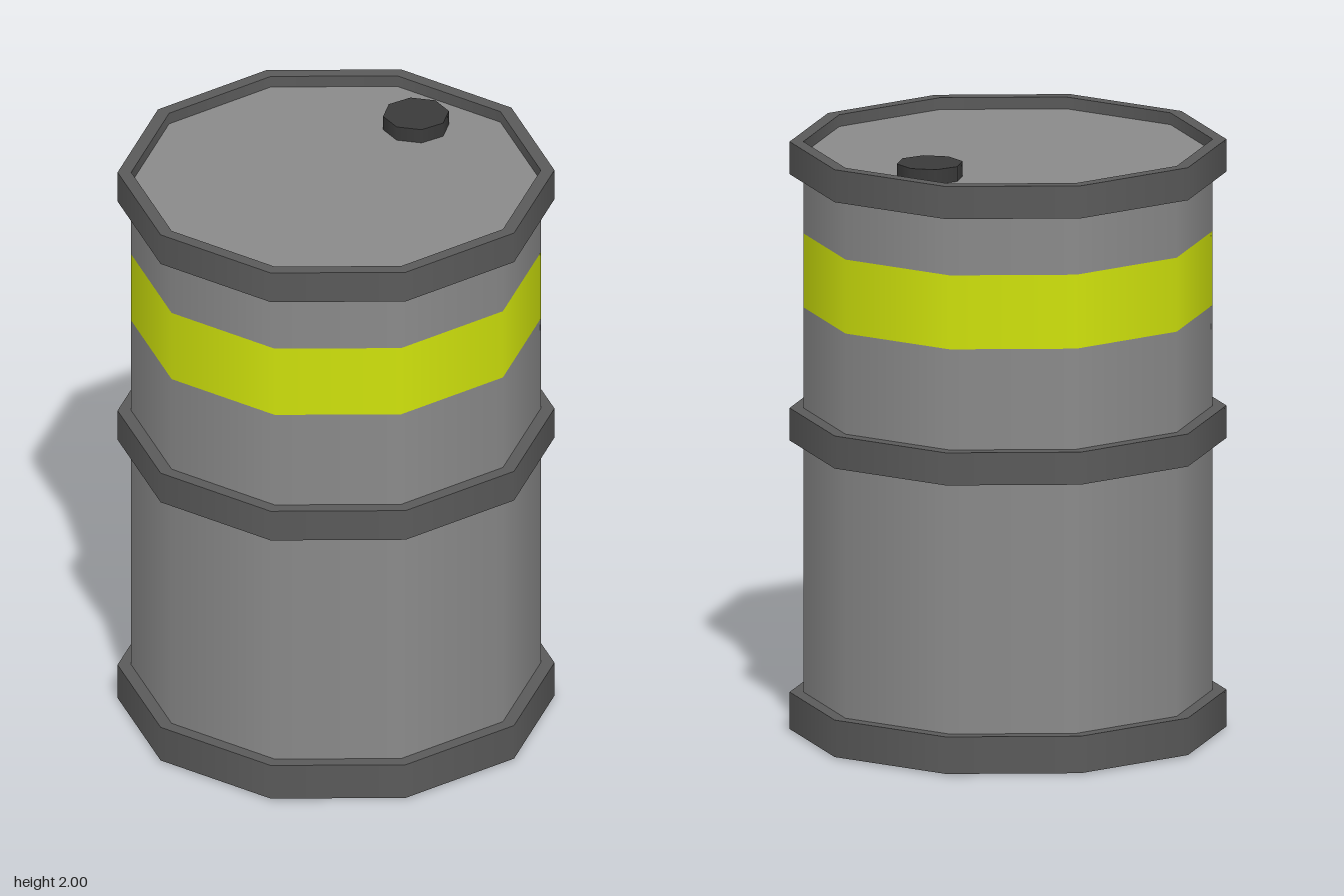
import * as THREE from 'three';
import { mergeGeometries } from 'three/addons/utils/BufferGeometryUtils.js';

const SIDES = 10, BODY_R = 0.675, RIM_R = 0.72, LID_Y = 1.95;

const material = (color, side = THREE.FrontSide) => new THREE.MeshStandardMaterial({ color, side });

// Open ten-sided wall between two heights, smooth around, with a corner on +x
function wall(radius, y0, y1) {
  return new THREE.CylinderGeometry(radius, radius, y1 - y0, SIDES, 1, true, Math.PI / 2)
    .translate(0, (y0 + y1) / 2, 0);
}

// Flat ring or disc facing up (dir 1) or down (dir -1)
function flat(inner, outer, y, dir) {
  const geometry = inner > 0
    ? new THREE.RingGeometry(inner, outer, SIDES)
    : new THREE.CircleGeometry(outer, SIDES);
  return geometry.rotateX(-dir * Math.PI / 2).translate(0, y, 0);
}

// Square-section hoop around the body
function hoop(y0, y1) {
  return mergeGeometries([
    wall(RIM_R, y0, y1),
    wall(BODY_R, y0, y1),
    flat(BODY_R, RIM_R, y1, 1),
    flat(BODY_R, RIM_R, y0, -1),
  ]);
}

export function createModel() {
  const model = new THREE.Group();
  model.name = 'barrel';
  const grey = material(0x8a8a8a);
  const dark = material(0x5a5a5a, THREE.DoubleSide);
  const black = material(0x3a3a3a);
  const yellow = material(0xcfe20c);

  const add = (name, geometry, mat) => {
    const mesh = new THREE.Mesh(geometry, mat);
    mesh.name = name;
    model.add(mesh);
    return mesh;
  };

  // Body walls, with the painted band flush between them
  add('lowerBody', wall(BODY_R, 0, 1.43), grey);
  add('paintedBand', wall(BODY_R, 1.43, 1.68), yellow);
  add('upperBody', wall(BODY_R, 1.68, LID_Y), grey);
  add('base', flat(0, BODY_R, 0, -1), grey);
  add('lid', flat(0, BODY_R, LID_Y, 1), grey);

  // Hoops; the top one rises past the lid as a lip
  add('bottomRim', hoop(0.005, 0.13), dark);
  add('middleHoop', hoop(0.98, 1.09), dark);
  add('topRim', hoop(1.88, 1.99), dark);

  // Filler cap near the back of the lid
  const cap = add('fillerCap', new THREE.CylinderGeometry(0.11, 0.11, 2 - LID_Y, 8), black);
  cap.position.set(0, (2 + LID_Y) / 2, -0.455);

  return model;
}
